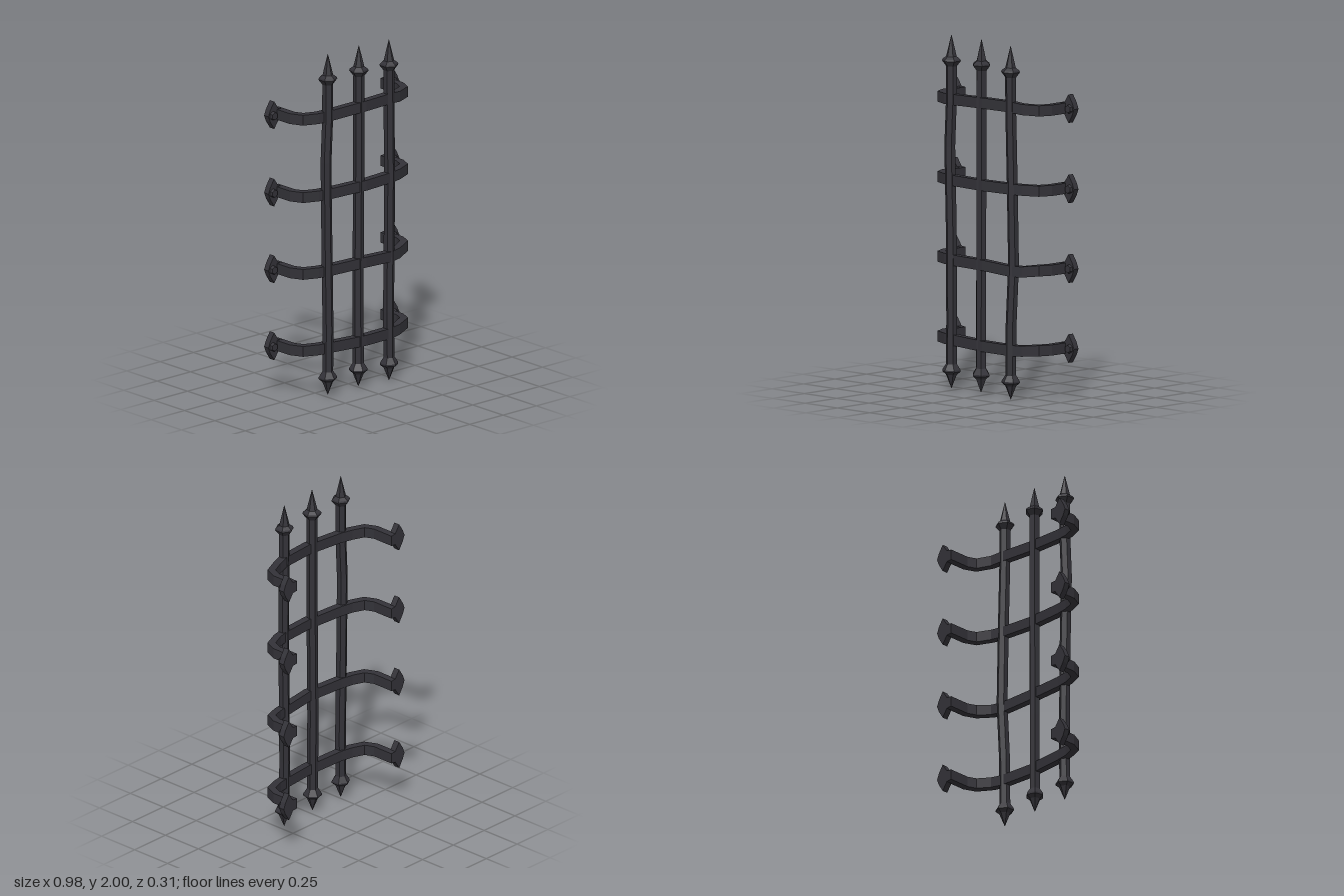
import * as THREE from 'three';

const iron = new THREE.MeshStandardMaterial({ color: 0x333238, flatShading: true });
iron.name = 'dark iron';

// Skin a list of equal-length rings of points and cap both ends.
function loft(rings) {
  const out = [];
  const tri = (...pts) => pts.forEach((p) => out.push(...p));
  const n = rings[0].length;
  for (let i = 0; i < rings.length - 1; i++) {
    for (let j = 0; j < n; j++) {
      const k = (j + 1) % n;
      const a = rings[i][j], b = rings[i][k], c = rings[i + 1][k], d = rings[i + 1][j];
      tri(a, d, c);
      tri(a, c, b);
    }
  }
  const first = rings[0], last = rings[rings.length - 1];
  for (let j = 1; j < n - 1; j++) {
    tri(first[0], first[j], first[j + 1]);
    tri(last[0], last[j + 1], last[j]);
  }
  const geo = new THREE.BufferGeometry();
  geo.setAttribute('position', new THREE.Float32BufferAttribute(out, 3));
  geo.computeVertexNormals();
  return geo;
}

function addMesh(parent, geo, name) {
  const mesh = new THREE.Mesh(geo, iron);
  mesh.name = name;
  parent.add(mesh);
  return mesh;
}

// Hexagonal rod through [x, y, z, radius] stations.
function hexRod(stations, turn) {
  return loft(stations.map(([x, y, z, r]) => Array.from({ length: 6 }, (_, k) => {
    const a = turn + Math.PI / 6 + (k * Math.PI) / 3;
    return [x + r * Math.cos(a), y, z + r * Math.sin(a)];
  })));
}

// Flat bar following [x, y, z] points, mitred at each bend.
function flatBar(path, width, height) {
  const dir = (p, q) => new THREE.Vector2(q[0] - p[0], q[2] - p[2]).normalize();
  return loft(path.map((p, i) => {
    const before = i > 0 ? dir(path[i - 1], p) : dir(p, path[1]);
    const after = i < path.length - 1 ? dir(p, path[i + 1]) : before;
    const t = before.clone().add(after).normalize();
    const w = width / 2 / t.dot(after);
    return [[1, -1], [1, 1], [-1, 1], [-1, -1]].map(([u, v]) =>
      [p[0] - t.y * w * u, p[1] + (v * height) / 2, p[2] + t.x * w * u]);
  }));
}

// Plan of every cross bar: [x, z]
const plan = [
  [-0.405, -0.155], [-0.405, -0.018], [-0.377, 0.043], [-0.3, 0.075], [-0.22, 0.09],
  [0.02, 0.108], [0.22, 0.095], [0.29, 0.08], [0.377, 0.043], [0.403, -0.018], [0.403, -0.155],
];
// Height of each bar and its hammered unevenness at plan points 4 to 7
const bars = [
  { y: 0.285, bend: [0, -0.007, -0.011, -0.008] },
  { y: 0.733, bend: [0, 0, -0.014, -0.012] },
  { y: 1.18, bend: [0, 0, 0, 0] },
  { y: 1.63, bend: [0.004, 0.012, 0.011, 0.002] },
];
// Uprights: [x, y, z] shaft points, from bottom to top
const uprights = [
  { turn: 0, shaft: [[-0.245, 0.145, 0.1], [-0.243, 0.4, 0.1], [-0.249, 0.9, 0.097],
    [-0.258, 1.37, 0.1], [-0.246, 1.62, 0.1], [-0.245, 1.825, 0.1]] },
  { turn: 0.25, shaft: [[-0.016, 0.145, 0.1], [-0.017, 0.6, 0.098], [-0.013, 1.2, 0.1],
    [-0.012, 1.825, 0.1]] },
  { turn: 0, shaft: [[0.214, 0.13, 0.1], [0.213, 0.4, 0.097], [0.225, 0.75, 0.089],
    [0.222, 1.2, 0.096], [0.214, 1.62, 0.1], [0.213, 1.81, 0.1]] },
];

function wallPlate(side, y) {
  const group = new THREE.Group();
  group.name = side > 0 ? 'leftWallPlate' : 'rightWallPlate';
  const half = [[0.385, 0.03], [0.415, 0.033], [0.447, 0.08], [0.476, 0.035], [0.49, 0]];
  const lower = half.slice(0, -1).reverse().map(([x, v]) => [x, -v]);
  const shape = new THREE.Shape([...half, ...lower].map(([x, v]) => new THREE.Vector2(side * x, v)));
  const geo = new THREE.ExtrudeGeometry(shape, { depth: 0.036, bevelEnabled: false });
  addMesh(group, geo, 'plate').position.z = -0.155;
  const bolt = addMesh(group, new THREE.CylinderGeometry(0.022, 0.027, 0.02, 6), 'bolt');
  bolt.rotation.x = Math.PI / 2;
  bolt.position.set(side * 0.456, 0, -0.112);
  group.position.y = y;
  return group;
}

export function createModel() {
  const model = new THREE.Group();
  model.name = 'windowGrille';

  // Bent cross bars with a plate at each end
  bars.forEach(({ y, bend }) => {
    const path = plan.map(([x, z], i) => [x, y + (bend[i - 4] ?? 0), z]);
    addMesh(model, flatBar(path, 0.042, 0.06), 'crossBar');
    model.add(wallPlate(-1, y), wallPlate(1, y));
  });

  // Uprights with spear heads
  uprights.forEach(({ turn, shaft }) => {
    const group = new THREE.Group();
    group.name = 'upright';
    addMesh(group, hexRod(shaft.map((p) => [...p, 0.031]), turn), 'shaft');
    const [bx, by, bz] = shaft[0];
    const [tx, ty, tz] = shaft[shaft.length - 1];
    addMesh(group, hexRod([
      [tx, ty - 0.005, tz, 0.031], [tx, ty + 0.025, tz, 0.054], [tx, ty + 0.035, tz, 0.05],
      [tx, ty + 0.05, tz, 0.03], [tx, ty + 0.17, tz, 0.001],
    ], turn), 'topSpear');
    addMesh(group, hexRod([
      [bx, by - 0.13, bz, 0.001], [bx, by - 0.055, bz, 0.031], [bx, by - 0.038, bz, 0.052],
      [bx, by - 0.028, bz, 0.052], [bx, by + 0.005, bz, 0.031],
    ], turn), 'bottomSpear');
    model.add(group);
  });

  return model;
}
